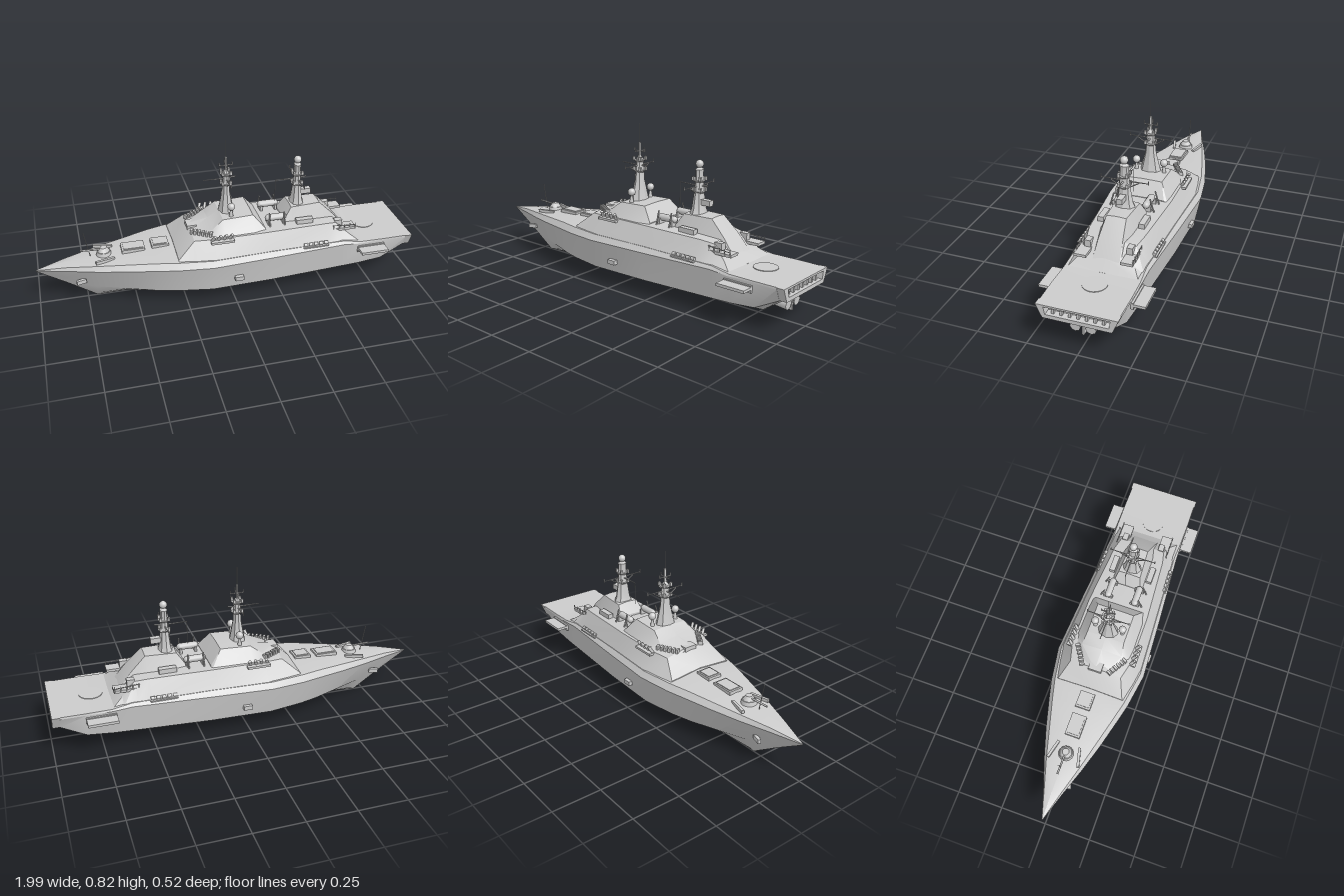
import * as THREE from 'three';
import { toCreasedNormals } from 'three/addons/utils/BufferGeometryUtils.js';

const grey = new THREE.MeshStandardMaterial({ color: 0xcccccc, side: THREE.DoubleSide });

// Skin mirrored half sections; each is [x, [z, y], [z, y], ...] from bottom centre to top centre
function loft(sections, crease = 0.5) {
  const pos = [], index = [];
  const rings = sections.map(([x, ...half]) => {
    const other = half.slice(1, -1).reverse().map(([z, y]) => [-z, y]);
    return [...half, ...other].map(([z, y]) => [x, y, z]);
  });
  const n = rings[0].length;
  rings.forEach(r => r.forEach(p => pos.push(...p)));
  for (let i = 0; i < rings.length - 1; i++) {
    for (let j = 0; j < n; j++) {
      const a = i * n + j, b = i * n + (j + 1) % n;
      index.push(a, a + n, b + n, a, b + n, b);
    }
  }
  const last = (rings.length - 1) * n;
  for (let j = 1; j < n - 1; j++) index.push(0, j, j + 1, last, last + j + 1, last + j);
  const g = new THREE.BufferGeometry();
  g.setAttribute('position', new THREE.Float32BufferAttribute(pos, 3));
  g.setIndex(index);
  return toCreasedNormals(g.toNonIndexed(), crease);
}

export function createModel() {
  const ship = new THREE.Group();
  ship.name = 'warship';

  const add = (name, geo, x = 0, y = 0, z = 0, parent = ship) => {
    const m = new THREE.Mesh(geo, grey);
    m.name = name;
    m.position.set(x, y, z);
    parent.add(m);
    return m;
  };
  const box = (name, x, y, z, w, h, d, parent) => add(name, new THREE.BoxGeometry(w, h, d), x, y, z, parent);
  const pole = (name, a, b, r = 0.003, parent = ship, r2 = r) => {
    const A = new THREE.Vector3(...a), B = new THREE.Vector3(...b), d = B.clone().sub(A);
    const m = add(name, new THREE.CylinderGeometry(r2, r, d.length(), 8), 0, 0, 0, parent);
    m.position.copy(A).lerp(B, 0.5);
    m.quaternion.setFromUnitVectors(new THREE.Vector3(0, 1, 0), d.normalize());
    return m;
  };
  const ball = (name, x, y, z, r, parent) => add(name, new THREE.SphereGeometry(r, 20, 14), x, y, z, parent);

  // Hull: x, keel y, bilge z/y, chine z/y, knuckle z/y, deck edge z/y, deck centre y
  const hull = [
    [-1, 0.2, 0.001, 0.202, 0.002, 0.203, 0.003, 0.205, 0.002, 0.207, 0.208],
    [-0.85, 0.105, 0.006, 0.115, 0.022, 0.15, 0.052, 0.21, 0.045, 0.228, 0.236],
    [-0.7, 0.003, 0.012, 0.02, 0.05, 0.09, 0.105, 0.215, 0.09, 0.24, 0.25],
    [-0.55, 0.013, 0.045, 0.04, 0.1, 0.085, 0.152, 0.222, 0.13, 0.25, 0.266],
    [-0.4, 0.028, 0.075, 0.05, 0.15, 0.08, 0.192, 0.228, 0.17, 0.26, 0.274],
    [-0.3, 0.052, 0.09, 0.056, 0.18, 0.082, 0.217, 0.23, 0.195, 0.262, 0.28],
    [-0.12, 0.058, 0.1, 0.058, 0.215, 0.085, 0.245, 0.235, 0.225, 0.265, 0.27],
    [0.2, 0.058, 0.1, 0.058, 0.205, 0.085, 0.226, 0.235, 0.207, 0.262, 0.27],
    [0.6, 0.058, 0.1, 0.058, 0.18, 0.088, 0.198, 0.235, 0.185, 0.25, 0.25],
    [0.7, 0.058, 0.1, 0.06, 0.175, 0.09, 0.195, 0.225, 0.19, 0.235, 0.235],
    [0.83, 0.06, 0.09, 0.065, 0.17, 0.1, 0.194, 0.225, 0.192, 0.235, 0.235],
    [0.955, 0.15, 0.1, 0.152, 0.165, 0.165, 0.192, 0.225, 0.19, 0.235, 0.235],
  ];
  add('hull', loft(hull.map(([x, yk, zb, yb, zc, yc, zm, ym, zt, yt, y]) =>
    [x, [0, yk], [zb, yb], [zc, yc], [zm, ym], [zt, yt], [0, y]])));

  // Stern frame with the mooring slot
  const stern = new THREE.Shape([[-0.165, 0.166], [0.165, 0.166], [0.195, 0.235], [-0.195, 0.235]].map(p => new THREE.Vector2(...p)));
  stern.holes.push(new THREE.Path([[-0.15, 0.186], [-0.157, 0.225], [0.157, 0.225], [0.15, 0.186]].map(p => new THREE.Vector2(...p))));
  add('sternFrame', new THREE.ExtrudeGeometry(stern, { depth: 0.04, bevelEnabled: false }), 0.953).rotation.y = Math.PI / 2;
  for (let i = -3; i <= 3; i++) box('mooringBitt', 0.97, 0.198, i * 0.04, 0.015, 0.024, 0.012);

  // Deckhouses: x, foot z/y, shoulder z/y, roof centre y
  const house = (name, rows) => add(name, loft(rows.map(([x, zb, yb, zt, yt, y]) =>
    [x, [0, yb], [zb, yb], [zt, yt], [0, y]])));
  house('mainDeckhouse', [
    [-0.29, 0.19, 0.255, 0.18, 0.268, 0.284], [-0.2, 0.21, 0.255, 0.14, 0.345, 0.37],
    [-0.1, 0.222, 0.262, 0.165, 0.355, 0.375], [0.16, 0.208, 0.26, 0.165, 0.355, 0.36],
    [0.5, 0.189, 0.25, 0.14, 0.345, 0.355], [0.57, 0.186, 0.245, 0.125, 0.335, 0.345],
    [0.64, 0.186, 0.235, 0.14, 0.27, 0.28], [0.69, 0.186, 0.225, 0.175, 0.235, 0.237],
  ]);
  house('bridge', [
    [-0.21, 0.1, 0.34, 0.05, 0.352, 0.372], [-0.1, 0.155, 0.345, 0.11, 0.38, 0.392],
    [-0.04, 0.158, 0.35, 0.1, 0.425, 0.43], [0.12, 0.155, 0.35, 0.1, 0.432, 0.435],
    [0.18, 0.15, 0.345, 0.13, 0.36, 0.362],
  ]);
  house('aftHouse', [
    [0.3, 0.09, 0.34, 0.075, 0.365, 0.37], [0.34, 0.09, 0.34, 0.06, 0.425, 0.43],
    [0.5, 0.09, 0.33, 0.05, 0.427, 0.43], [0.58, 0.085, 0.28, 0.06, 0.35, 0.355],
    [0.67, 0.08, 0.23, 0.07, 0.24, 0.242],
  ]);

  // Masts: tapered eight-sided towers with galleries and yards
  const mast = (name, x, levels, arm, armY, armFront) => {
    const g = new THREE.Group();
    g.name = name;
    g.position.x = x;
    ship.add(g);
    const profile = levels.map(([r, y]) => new THREE.Vector2(r, y));
    const tower = toCreasedNormals(new THREE.LatheGeometry(profile, 8).toNonIndexed(), 0.4);
    add('mastTower', tower, 0, 0, 0, g).scale.x = 0.75;
    for (const y of [armY - 0.03, armY + 0.025]) {
      add('gallery', new THREE.CylinderGeometry(0.032, 0.024, 0.01, 8), 0, y, 0, g);
      for (let i = 0; i < 4; i++) {
        const a = Math.PI / 4 + i * Math.PI / 2;
        box('sensor', 0.03 * Math.cos(a), y + 0.012, 0.03 * Math.sin(a), 0.012, 0.02, 0.012, g);
      }
    }
    for (const s of [-1, 1]) {
      pole('yard', [0, armY, 0], [0, armY + 0.002, s * arm], 0.004, g, 0.002);
      pole('yardBrace', [0, armY - 0.035, s * 0.02], [0, armY - 0.004, s * 0.07], 0.003, g);
      pole('yardTip', [0, armY - 0.004, s * arm], [0, armY + 0.016, s * arm], 0.003, g);
    }
    pole('foreYard', [0, armY, 0], [armFront, armY + 0.002, 0], 0.004, g, 0.002);
    pole('aftYard', [0, armY, 0], [0.05, armY + 0.006, 0], 0.004, g);
    return g;
  };
  const fore = mast('foreMast', 0, [[0.062, 0.41], [0.052, 0.44], [0.03, 0.53], [0.024, 0.6], [0.022, 0.645], [0.008, 0.66], [0.008, 0.73], [0, 0.732]], 0.11, 0.61, -0.12);
  pole('topAntenna', [0, 0.73, 0], [0, 0.825, 0], 0.0015, fore);
  for (const dir of [[1, 0], [0, 1]]) {
    const [dx, dz] = dir.map(d => d * 0.034);
    pole('topYard', [-dx, 0.685, -dz], [dx, 0.685, dz], 0.003, fore);
    for (const s of [-1, 1]) pole('topYardTip', [s * dx, 0.683, s * dz], [s * dx, 0.7, s * dz], 0.003, fore);
  }
  const aft = mast('aftMast', 0.385, [[0.055, 0.42], [0.042, 0.45], [0.028, 0.54], [0.023, 0.63], [0.026, 0.645], [0.01, 0.655], [0, 0.656]], 0.12, 0.562, -0.12);
  ball('topDome', 0, 0.672, 0, 0.02, aft);
  pole('hangingAntenna', [-0.118, 0.44, 0], [-0.118, 0.565, 0], 0.0015, aft);
  box('mastPlatform', 0.045, 0.485, 0, 0.06, 0.028, 0.03, aft);

  // Foredeck gun, staff and missile hatches
  add('gunBase', new THREE.CylinderGeometry(0.035, 0.04, 0.02, 16), -0.65, 0.262, 0);
  add('gunTurret', new THREE.CylinderGeometry(0.018, 0.034, 0.025, 8), -0.65, 0.281, 0);
  pole('gunBarrel', [-0.66, 0.283, 0], [-0.77, 0.288, 0], 0.005);
  pole('jackstaff', [-0.72, 0.25, 0], [-0.745, 0.39, 0], 0.002);
  for (const [x, w, y] of [[-0.5, 0.12, 0.271], [-0.36, 0.09, 0.278]]) {
    box('hatchFrame', x, y, 0, w, 0.018, 0.08);
    box('hatchLid', x, y + 0.01, 0, w - 0.02, 0.006, 0.064);
  }
  box('bridgeGunMount', -0.19, 0.36, 0, 0.05, 0.03, 0.07);

  // Mirrored fittings
  for (const s of [-1, 1]) {
    pole('domePedestal', [0.01, 0.425, s * 0.075], [0.01, 0.465, s * 0.075], 0.012, ship, 0.006);
    ball('satelliteDome', 0.01, 0.482, s * 0.075, 0.02);
    box('sidePlatform', 0.755, 0.2, s * 0.225, 0.15, 0.014, 0.07);
    box('platformNet', 0.755, 0.195, s * 0.196, 0.15, 0.035, 0.012);
    box('anchor', -0.78, 0.142, s * 0.063, 0.05, 0.022, 0.016).rotation.y = s * 0.3;
    box('bowChock', -0.65, 0.255, s * 0.07, 0.1, 0.016, 0.014).rotation.y = s * 0.25;
    box('sideHatch', 0.015, 0.145, s * 0.228, 0.045, 0.022, 0.03);
    for (let i = 0; i < 6; i++) {
      box('bridgeWindow', -0.2 + i * 0.018, 0.366, s * (0.075 + i * 0.011), 0.012, 0.022, 0.025).rotation.y = -s * 0.5;
    }
    // Launchers beside the bridge
    box('launcherShelf', -0.06, 0.345, s * 0.172, 0.12, 0.012, 0.04);
    for (let i = 0; i < 4; i++) pole('launcherTube', [-0.11 + i * 0.03, 0.352, s * 0.165], [-0.1 + i * 0.03, 0.38, s * 0.182], 0.008);
    // Ship's boats between the deckhouses
    const boat = add('boat', new THREE.CapsuleGeometry(0.018, 0.08, 6, 12), 0.25, 0.388, s * 0.075);
    boat.rotation.z = Math.PI / 2;
    for (const x of [0.21, 0.29]) {
      box('boatCradle', x, 0.37, s * 0.075, 0.012, 0.03, 0.05);
      pole('davit', [x, 0.355, s * 0.115], [x, 0.425, s * 0.095], 0.004);
    }
    box('deckLocker', 0.4, 0.362, s * 0.105, 0.09, 0.025, 0.03);
    // Life raft racks along the side
    for (let i = 0; i < 5; i++) {
      pole('lifeRaft', [0.375 + i * 0.028, 0.262, s * 0.19], [0.395 + i * 0.028, 0.262, s * 0.19], 0.009);
    }
    box('raftRack', 0.44, 0.25, s * 0.192, 0.14, 0.006, 0.025);
    // Hangar-end gun sponsons and rails
    box('sponson', 0.61, 0.3, s * 0.115, 0.14, 0.014, 0.06);
    for (let i = 0; i < 5; i++) pole('sponsonRail', [0.555 + i * 0.03, 0.3, s * 0.145], [0.555 + i * 0.03, 0.33, s * 0.145], 0.002);
    pole('sponsonHandrail', [0.55, 0.328, s * 0.145], [0.68, 0.318, s * 0.145], 0.002);
    box('aftGun', 0.59, 0.325, s * 0.105, 0.04, 0.035, 0.03);
    // Propulsion nozzles
    pole('nozzle', [0.85, 0.105, s * 0.038], [0.93, 0.1, s * 0.038], 0.022, ship, 0.026);
  }
  box('rudder', 0.895, 0.1, 0, 0.07, 0.075, 0.01);
  add('landingCircle', new THREE.CylinderGeometry(0.06, 0.06, 0.004, 24), 0.78, 0.236, 0);
  return ship;
}
